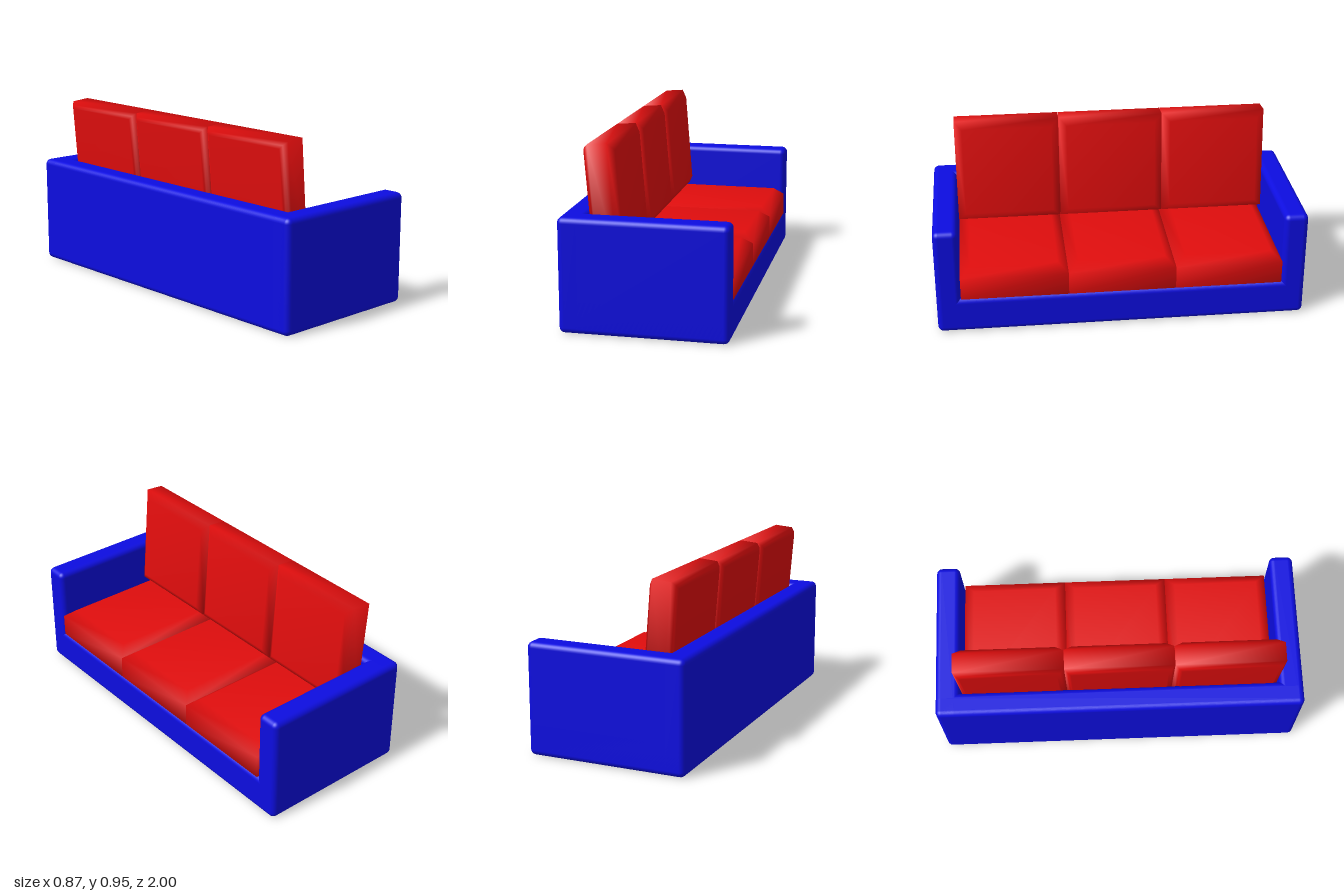
import * as THREE from 'three';
import { RoundedBoxGeometry } from 'three/addons/geometries/RoundedBoxGeometry.js';

const blue = new THREE.MeshStandardMaterial({ color: 0x0d0de0 });
const red = new THREE.MeshStandardMaterial({ color: 0xe00d0d });

// Chamfered block: rectangular rings stacked along y, each [y, inset].
// Shared vertices give area-weighted normals, so only the chamfers look soft.
function cushionGeometry(width, depth, rings) {
  const pos = [], idx = [];
  for (const [y, inset] of rings) {
    const x = width / 2 - inset, z = depth / 2 - inset;
    pos.push(-x, y, -z, -x, y, z, x, y, z, x, y, -z);
  }
  for (let r = 0; r < rings.length - 1; r++) {
    for (let i = 0; i < 4; i++) {
      const a = r * 4 + i, b = r * 4 + (i + 1) % 4;
      idx.push(a, b, b + 4, a, b + 4, a + 4);
    }
  }
  const t = (rings.length - 1) * 4;
  idx.push(t, t + 1, t + 2, t, t + 2, t + 3, 0, 2, 1, 0, 3, 2);
  const geo = new THREE.BufferGeometry();
  geo.setAttribute('position', new THREE.Float32BufferAttribute(pos, 3));
  geo.setIndex(idx);
  geo.computeVertexNormals();
  return geo;
}

export function createModel() {
  const sofa = new THREE.Group();
  sofa.name = 'sofa';

  const add = (name, geo, mat, x, y, z) => {
    const mesh = new THREE.Mesh(geo, mat);
    mesh.name = name;
    mesh.position.set(x, y, z);
    sofa.add(mesh);
    return mesh;
  };
  const rounded = (w, h, d) => new RoundedBoxGeometry(w, h, d, 4, 0.03);

  // Frame: base, back panel and two arms (the sofa faces +x)
  add('base', rounded(0.87, 0.2, 2), blue, 0, 0.1, 0);
  add('backPanel', rounded(0.13, 0.6, 2), blue, -0.37, 0.3, 0);
  for (const s of [1, -1]) {
    add(s > 0 ? 'armFront' : 'armRear', rounded(0.87, 0.6, 0.13), blue, 0, 0.3, s * 0.935);
  }

  // Three seat cushions and three leaning back cushions
  const seat = cushionGeometry(0.735, 0.579,
    [[0.18, 0.03], [0.2, 0], [0.325, 0], [0.37, 0.055]]);
  const back = cushionGeometry(0.58, 0.577,
    [[-0.08, 0.035], [-0.07, 0.018], [-0.05, 0], [0.052, 0], [0.08, 0.042]]);
  for (let i = -1; i <= 1; i++) {
    add('seatCushion' + (i + 2), seat, red, 0.066, 0, i * 0.58);
    add('backCushion' + (i + 2), back, red, -0.236, 0.66, i * 0.58)
      .rotation.z = -Math.PI / 2 + 0.08;
  }
  return sofa;
}
